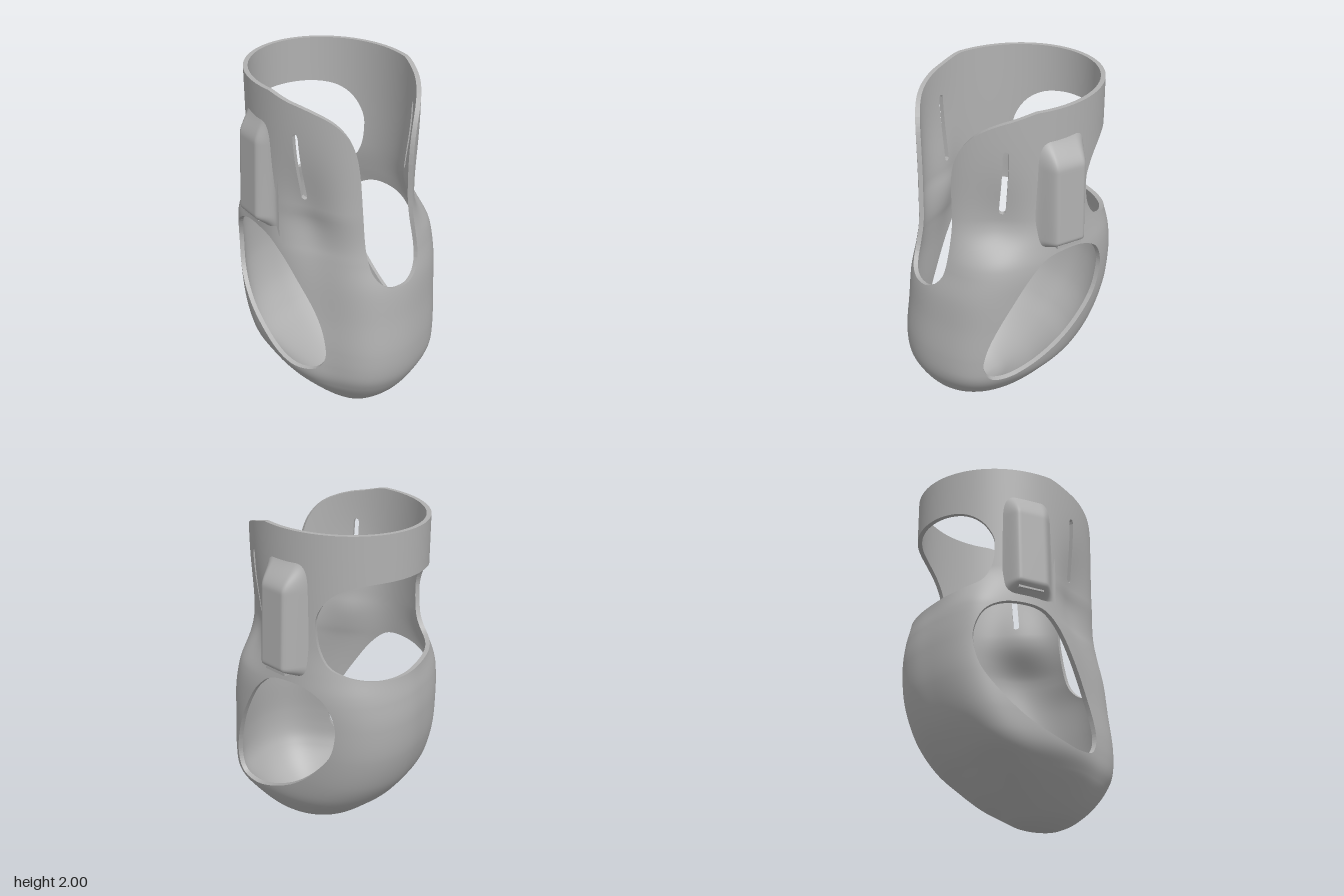
import * as THREE from 'three';

const V2 = (a) => a.map(([x, y]) => new THREE.Vector2(x, y));
const V3 = (x, y, z) => new THREE.Vector3(x, y, z);
const step = THREE.MathUtils.smoothstep;
const WALL = 0.026;

// Cross-section extents: y, -x side, +x side, back z, front z
const ROWS = [
  [0, -0.035, -0.035, 0.17, 0.17], [0.008, -0.08, 0.012, 0.09, 0.25], [0.03, -0.14, 0.08, 0.02, 0.315],
  [0.07, -0.205, 0.15, -0.05, 0.39], [0.15, -0.3, 0.265, -0.18, 0.485], [0.25, -0.4, 0.35, -0.305, 0.56],
  [0.35, -0.465, 0.405, -0.415, 0.6], [0.5, -0.483, 0.43, -0.525, 0.61], [0.7, -0.48, 0.445, -0.595, 0.592],
  [0.9, -0.477, 0.455, -0.613, 0.572], [1.05, -0.48, 0.46, -0.6, 0.53], [1.2, -0.477, 0.45, -0.572, 0.498],
  [1.4, -0.475, 0.44, -0.567, 0.485], [1.7, -0.475, 0.44, -0.57, 0.482], [2.08, -0.48, 0.44, -0.57, 0.48],
];
const widthCurve = new THREE.CatmullRomCurve3(ROWS.map((r) => V3(r[1], r[0], r[2])), false, 'catmullrom');
const depthCurve = new THREE.CatmullRomCurve3(ROWS.map((r) => V3(r[3], r[0], r[4])), false, 'catmullrom');

// Swelling centred on one direction, in degrees from +x towards the front
function swell(angle, degrees, sigma) {
  const d = angle - THREE.MathUtils.degToRad(degrees);
  return Math.exp(-((Math.atan2(Math.sin(d), Math.cos(d)) / sigma) ** 2));
}

// Outer wall: rounded, lopsided sections with a hollow on each front flank
function wallPoint(t, angle) {
  const w = widthCurve.getPoint(t), d = depthCurve.getPoint(t), y = w.y;
  const c = Math.cos(angle), s = Math.sin(angle);
  const body = step(y, 0.05, 0.4) * (1 - step(y, 1.1, 1.36));
  const p = 2 + (s < 0 ? 0.35 * body * s * s : (0.1 + 0.25 * step(y, 0.9, 1.3)) * s ** 4);
  let r = Math.pow(Math.abs(c) ** p + Math.abs(s) ** p, -1 / p);
  r += body * (0.12 * swell(angle, 33, 0.4) - 0.11 * swell(angle, 140, 0.42)
    + 0.1 * swell(angle, 215, 0.28) - 0.035 * swell(angle, 250, 0.28) + 0.03 * swell(angle, 315, 0.4));
  const rise = (y - 1.3) / (y > 1.3 ? 0.3 : 0.15);
  r -= Math.exp(-rise * rise) * (0.11 * swell(angle, 35, 0.34) + 0.13 * swell(angle, 145, 0.36));
  return V3((w.x + w.z) / 2 + c * r * (w.z - w.x) / 2, y, (d.x + d.z) / 2 + s * r * (d.z - d.x) / 2);
}

function wallNormal(t, angle) {
  if (t === 0) return V3(0, -1, 0);
  const e = 0.002, up = wallPoint(Math.min(1, t + e), angle).sub(wallPoint(Math.max(0, t - e), angle));
  const around = wallPoint(t, angle + e).sub(wallPoint(t, angle - e));
  return up.cross(around).normalize();
}

// Outlines of the openings
const loop = (a) => new THREE.CatmullRomCurve3(a.map(([x, y]) => V3(x, y, 0)), true).getPoints(80).slice(0, -1);
const sideHole = loop([[-0.12, 1.14], [0, 1.12], [0.1, 1.04], [0.2, 0.9], [0.3, 0.72], [0.36, 0.56], [0.37, 0.45],
  [0.325, 0.37], [0.22, 0.345], [0.1, 0.37], [-0.1, 0.46], [-0.25, 0.575], [-0.37, 0.72], [-0.41, 0.85],
  [-0.41, 0.95], [-0.36, 1.06], [-0.25, 1.125]]);
const open = (a) => new THREE.SplineCurve(V2(a)).getPoints(70);
const backWindow = [...open([[-0.6, 1.74], [-0.52, 1.735], [-0.43, 1.71], [-0.35, 1.65], [-0.295, 1.56], [-0.283, 1.48],
  [-0.3, 1.36], [-0.35, 1.27], [-0.43, 1.225], [-0.52, 1.195], [-0.6, 1.17]]), ...V2([[-1, 1.17], [-1, 1.74]])];
const frontSlot = [...open([[-0.52, 2], [-0.47, 1.98], [-0.38, 1.94], [-0.28, 1.87], [-0.205, 1.75], [-0.172, 1.58],
  [-0.155, 1.3], [-0.14, 1.06], [-0.105, 0.965], [-0.04, 0.915], [0.03, 0.905], [0.1, 0.915], [0.165, 0.965],
  [0.198, 1.06], [0.192, 1.3], [0.19, 1.58], [0.218, 1.74], [0.28, 1.86], [0.36, 1.94], [0.44, 1.985], [0.5, 2]]),
  ...V2([[0.5, 2.4], [-0.52, 2.4]])];

// Signed distance to an outline, positive outside
function outside(poly, x, y) {
  let best = 1e9, inside = false;
  for (let i = 0, j = poly.length - 1; i < poly.length; j = i++) {
    const a = poly[j], b = poly[i], dx = b.x - a.x, dy = b.y - a.y;
    const k = THREE.MathUtils.clamp(((x - a.x) * dx + (y - a.y) * dy) / (dx * dx + dy * dy || 1), 0, 1);
    best = Math.min(best, Math.hypot(x - a.x - k * dx, y - a.y - k * dy));
    if ((a.y > y) !== (b.y > y) && x < a.x + ((y - a.y) / dy) * dx) inside = !inside;
  }
  return inside ? -best : best;
}

// Positive where there is wall; the slot outline eases into the level back rim
function material(p) {
  const slit = Math.hypot(p.z - 0.21, p.y - THREE.MathUtils.clamp(p.y, 1.415, 1.78)) - 0.015;
  const ease = 0.022 * (1 - step(p.z, 0, 0.2));
  return Math.min(2 - p.y, slit, outside(sideHole, p.z, p.y), outside(backWindow, p.z, p.y),
    p.z > 0 ? outside(frontSlot, p.x, p.y - ease) : 1);
}

// Cut the wall grid along the openings, giving outer skin, inner skin and cut edges
function buildShell() {
  const skins = { outerShell: [[], []], innerShell: [[], []], openingEdges: [[], []] };
  const put = (name, p, n) => { skins[name][0].push(p.x, p.y, p.z); skins[name][1].push(n.x, n.y, n.z); };
  const inner = (v) => v.p.clone().addScaledVector(v.n, -WALL);
  const ts = [0], last = ROWS.length - 1, around = 220;
  for (let k = 0; k < last; k++) {
    const n = Math.max(5, Math.ceil((ROWS[k + 1][0] - ROWS[k][0]) / 0.0165));
    for (let i = 1; i <= n; i++) ts.push(Math.min(1, (k + i / n) / last));
  }
  const grid = ts.map((t) => Array.from({ length: around }, (_, j) => {
    const a = (j / around) * Math.PI * 2, p = wallPoint(t, a);
    return { p, n: wallNormal(t, a), f: material(p) };
  }));
  const cut = (a, b) => {
    const k = a.f / (a.f - b.f);
    return { p: a.p.clone().lerp(b.p, k), n: a.n.clone().lerp(b.n, k).normalize() };
  };
  const triangle = (tri) => {
    const poly = [];
    let from, to;
    tri.forEach((a, i) => {
      const b = tri[(i + 1) % 3];
      if (a.f > 0) poly.push(a);
      if (a.f > 0 && b.f <= 0) poly.push(from = cut(a, b));
      if (a.f <= 0 && b.f > 0) poly.push(to = cut(b, a));
    });
    for (let i = 1; i + 1 < poly.length; i++) {
      const f = [poly[0], poly[i], poly[i + 1]];
      f.forEach((v) => put('outerShell', v.p, v.n));
      f.reverse().forEach((v) => put('innerShell', inner(v), v.n.clone().negate()));
    }
    if (from && to) {
      const n = to.p.clone().sub(from.p).cross(from.n).normalize();
      const a = to.p, b = from.p, c = inner(from), d = inner(to);
      [a, b, c, a, c, d].forEach((p) => put('openingEdges', p, n));
    }
  };
  for (let i = 0; i + 1 < grid.length; i++) {
    for (let j = 0; j < around; j++) {
      const k = (j + 1) % around, A = grid[i][j], B = grid[i + 1][j], C = grid[i + 1][k], D = grid[i][k];
      triangle([A, B, C]);
      triangle([A, C, D]);
    }
  }
  return skins;
}

// Raised strap housing that swells out of the side wall
function housingGeometry(side) {
  const geo = new THREE.PlaneGeometry(0.36, 0.74, 44, 64), pos = geo.attributes.position;
  const cx = -0.0175, rx = 0.4575, cz = -0.043, rz = 0.527;
  for (let i = 0; i < pos.count; i++) {
    const z = -0.1 - side * pos.getX(i), y = 1.51 + pos.getY(i);
    const base = side * cx + rx * Math.sqrt(1 - ((z - cz) / rz) ** 2) - 0.015;
    const rise = step(z, -0.265, -0.175) * (1 - step(z, -0.025, 0.065))
      * step(y, 1.16, 1.25) * (1 - step(y, 1.68, 1.87));
    const top = 0.54 - 0.035 * (y - 1.25);
    pos.setXYZ(i, side * THREE.MathUtils.lerp(base, top, rise), y, z);
  }
  geo.computeVertexNormals();
  return geo;
}

export function createModel() {
  const model = new THREE.Group();
  model.name = 'openSocketShell';
  const grey = new THREE.MeshStandardMaterial({ color: 0xb0b0b0 });
  grey.name = 'plainGrey';
  const add = (name, geo) => {
    const mesh = new THREE.Mesh(geo, grey);
    mesh.name = name;
    model.add(mesh);
    return mesh;
  };
  for (const [name, [p, n]] of Object.entries(buildShell())) {
    const geo = new THREE.BufferGeometry();
    geo.setAttribute('position', new THREE.Float32BufferAttribute(p, 3));
    geo.setAttribute('normal', new THREE.Float32BufferAttribute(n, 3));
    add(name, geo);
  }
  for (const side of [1, -1]) {
    const label = side > 0 ? 'left' : 'right';
    add(label + 'StrapHousing', housingGeometry(side));
    // Lip of the strap slot under the housing
    add(label + 'StrapSlotLip', new THREE.BoxGeometry(0.035, 0.022, 0.15)).position.set(side * 0.5, 1.218, -0.105);
  }
  return model;
}
